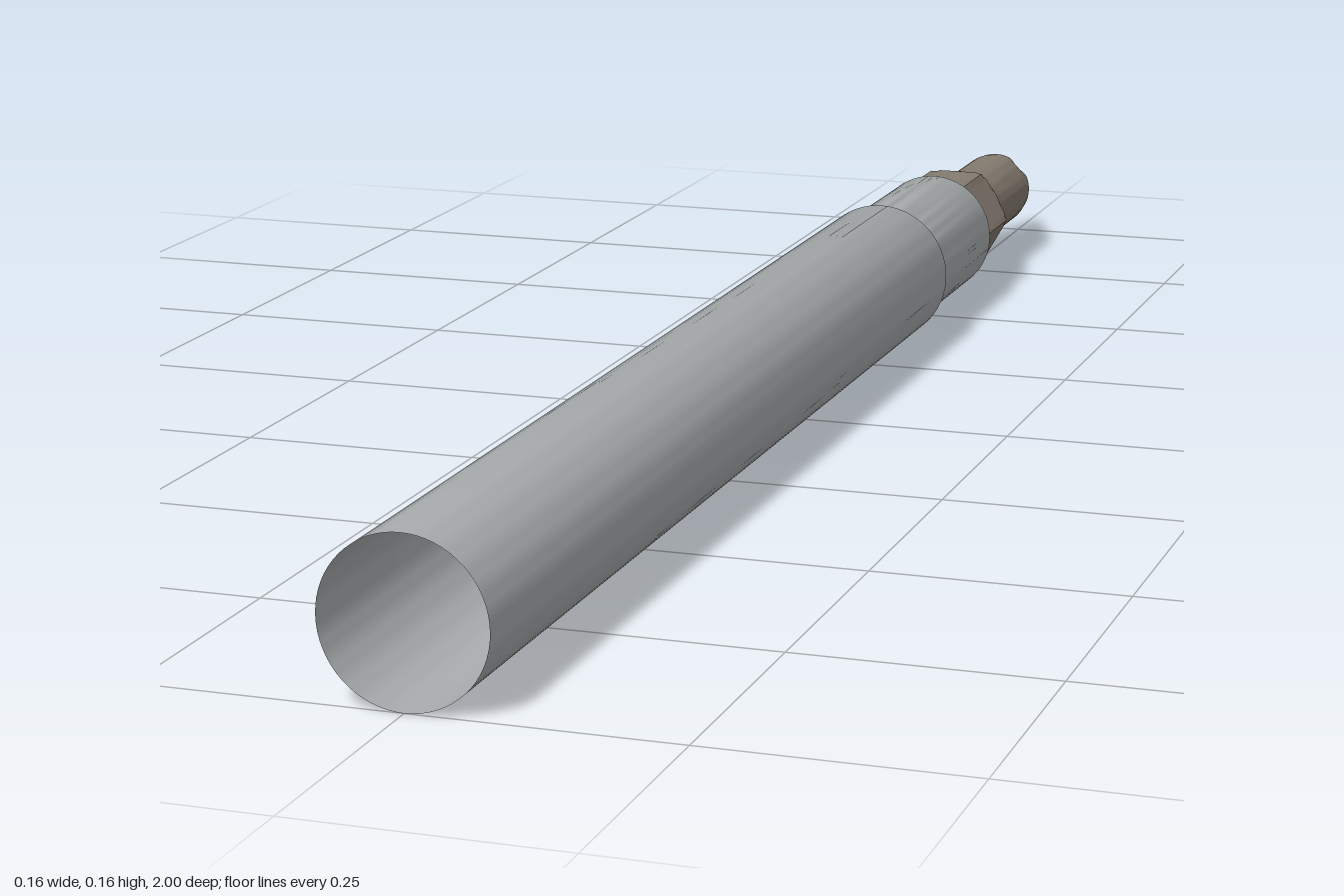
import * as THREE from 'three';
import { toCreasedNormals } from 'three/addons/utils/BufferGeometryUtils.js';

const AXIS_Y = 0.078;

// Turned surface along z; points are [radius, z] with z ascending
function turned(points, segments) {
  const geo = new THREE.LatheGeometry(points.map(([r, z]) => new THREE.Vector2(r, z)), segments);
  return geo.rotateX(Math.PI / 2);
}

// Radius of a hexagon with corners on +x and -x
function hexRadius(angle, apothem) {
  const step = Math.PI / 3;
  const a = ((angle % step) + step) % step - step / 2;
  return apothem / Math.cos(a);
}

// Narrowing factor for the four diagonal flutes at the tip
function fluteFactor(angle, z) {
  const quarter = Math.PI / 2;
  const off = Math.abs(((angle % quarter) + quarter) % quarter - quarter / 2);
  const depth = THREE.MathUtils.clamp((-0.87 - z) / 0.05, 0, 1);
  return 1 - 0.4 * depth * Math.max(0, 1 - off / 0.36);
}

export function createModel() {
  const steel = new THREE.MeshStandardMaterial({ color: 0xa9adae, side: THREE.DoubleSide });
  steel.name = 'grey steel';
  const bronze = new THREE.MeshStandardMaterial({ color: 0x857b70, side: THREE.DoubleSide });
  bronze.name = 'brown steel';

  const model = new THREE.Group();
  model.name = 'screwdriverShaft';

  // Hollow shaft: open at the front, stepped down to a collar with a pierced end
  const shaftGeo = turned([
    [0.025, -0.6], [0.067, -0.6], [0.07, -0.595], [0.07, -0.385],
    [0.073, -0.382], [0.078, -0.374], [0.078, 1],
  ], 64);
  const shaft = new THREE.Mesh(toCreasedNormals(shaftGeo, 0.6), steel);
  shaft.name = 'hollowShaft';
  shaft.position.y = AXIS_Y;
  model.add(shaft);

  // Bit: hexagonal shank, flared neck, round stem and pointed tip
  const profile = [[0.0008, -1]];
  for (let i = 1; i <= 12; i++) profile.push([0.0008 + 0.0422 * i / 12, -1 + 0.115 * i / 12]);
  profile.push(
    [0.0445, -0.87], [0.0445, -0.76], [0.046, -0.738], [0.049, -0.722],
    [0.054, -0.711], [0.06, -0.702], [0.066, -0.695], [0.066, -0.6],
  );
  const bitGeo = turned(profile, 96);
  const pos = bitGeo.attributes.position;
  for (let i = 0; i < pos.count; i++) {
    const x = pos.getX(i), y = pos.getY(i), z = pos.getZ(i);
    const angle = Math.atan2(y, x);
    const r = Math.min(Math.hypot(x, y), hexRadius(angle, 0.0555)) * fluteFactor(angle, z);
    pos.setXY(i, r * Math.cos(angle), r * Math.sin(angle));
  }
  const bit = new THREE.Mesh(toCreasedNormals(bitGeo, 0.5), bronze);
  bit.name = 'crossBit';
  bit.position.y = AXIS_Y;
  model.add(bit);

  return model;
}
